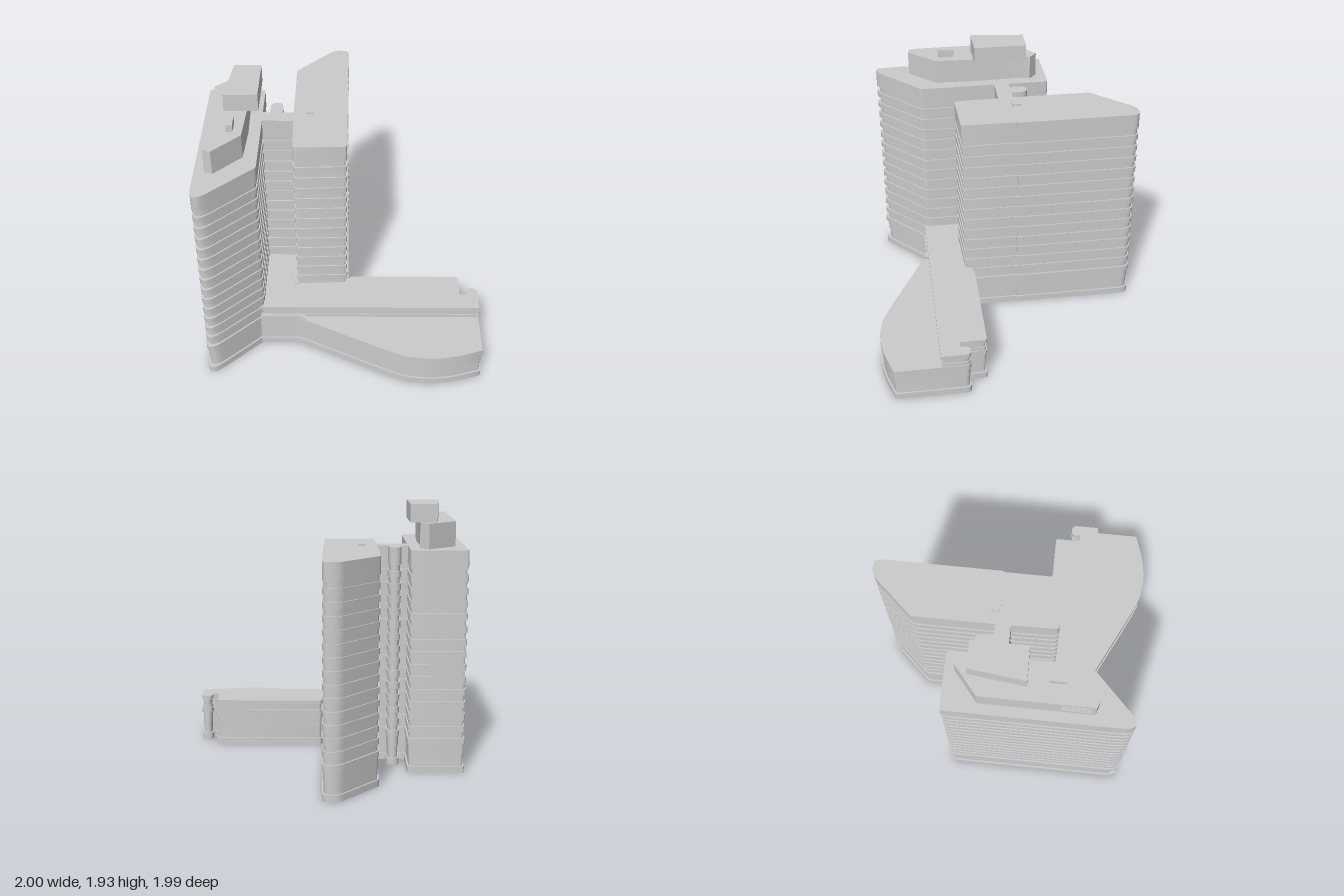
import * as THREE from 'three';
import { mergeGeometries, toCreasedNormals } from 'three/addons/utils/BufferGeometryUtils.js';

const material = new THREE.MeshStandardMaterial({ color: 0xcccccc });

// Move every edge of a plan outline [x, z, cornerSize] inward by d
function inset(pts, d) {
  const n = pts.length;
  let area = 0;
  pts.forEach((p, i) => {
    const q = pts[(i + 1) % n];
    area += p[0] * q[1] - q[0] * p[1];
  });
  const s = Math.sign(area);
  const normal = (a, b) => {
    const l = Math.hypot(b[0] - a[0], b[1] - a[1]);
    return [-s * (b[1] - a[1]) / l, s * (b[0] - a[0]) / l];
  };
  return pts.map((p, i) => {
    const m = normal(pts[(i + n - 1) % n], p);
    const k = normal(p, pts[(i + 1) % n]);
    const f = d / (1 + m[0] * k[0] + m[1] * k[1]);
    return [p[0] + (m[0] + k[0]) * f, p[1] + (m[1] + k[1]) * f, p[2] || 0];
  });
}

// Closed shape with softened corners
function outline(pts) {
  const n = pts.length;
  const shape = new THREE.Shape();
  pts.forEach((p, i) => {
    const v = new THREE.Vector2(p[0], -p[1]);
    const toward = (q) => {
      const e = new THREE.Vector2(q[0], -q[1]).sub(v);
      return v.clone().addScaledVector(e, Math.min(0.49, (p[2] || 0) / e.length()));
    };
    const a = toward(pts[(i + n - 1) % n]);
    const b = toward(pts[(i + 1) % n]);
    if (i === 0) shape.moveTo(a.x, a.y);
    else shape.lineTo(a.x, a.y);
    if (p[2]) shape.quadraticCurveTo(v.x, v.y, b.x, b.y);
  });
  shape.closePath();
  return shape;
}

// Stack of slabs: each level is [bottom, top, inset]
function stack(name, pts, levels) {
  const slabs = levels.map(([y0, y1, d]) => {
    const g = new THREE.ExtrudeGeometry(outline(inset(pts, d)), {
      depth: y1 - y0, bevelEnabled: false, curveSegments: 6,
    });
    g.rotateX(-Math.PI / 2);
    g.translate(0, y0, 0);
    return toCreasedNormals(g, 0.6);
  });
  const mesh = new THREE.Mesh(mergeGeometries(slabs), material);
  mesh.name = name;
  return mesh;
}

function box(name, x0, x1, y0, y1, z0, z1) {
  const mesh = new THREE.Mesh(new THREE.BoxGeometry(x1 - x0, y1 - y0, z1 - z0), material);
  mesh.position.set((x0 + x1) / 2, (y0 + y1) / 2, (z0 + z1) / 2);
  mesh.name = name;
  return mesh;
}

// Base courses, then alternating window recesses and floor bands, then parapet
const baseLevels = [[0, 0.05, 0], [0.05, 0.14, 0.012], [0.14, 0.22, 0.008], [0.22, 0.26, 0]];
const towerLevels = [...baseLevels];
const floors = 14, bottom = 0.26, top = 1.545;
const storey = (top - bottom) / floors;
for (let i = 0; i < floors; i++) {
  const y = bottom + i * storey;
  towerLevels.push([y, y + storey / 2, 0.012]);
  towerLevels.push([y + storey / 2, y + storey, 0.003]);
}
towerLevels.push([top, 1.625, 0.003]);

export function createModel() {
  const model = new THREE.Group();
  model.name = 'towerComplex';

  // Tower with the pointed front
  model.add(stack('pointedTower', [
    [-1, -0.415, 0.02], [-0.585, -0.415, 0.02], [-0.585, 0.56, 0.02],
    [-0.62, 0.59, 0.02], [-1, 0.957, 0.16],
  ], towerLevels));

  // Long tower with the slanted back, in two lengths with a small step between
  model.add(stack('slantedTower', [
    [-0.37, -0.69, 0.02], [-0.09, -0.998, 0.05], [0.028, -0.998, 0.06],
    [0.028, -0.09, 0], [-0.37, -0.09, 0],
  ], towerLevels));
  model.add(stack('slantedTowerFront', [
    [-0.37, -0.12, 0], [0.02, -0.12, 0], [0.02, 0.315, 0.02], [-0.36, 0.33, 0.03],
  ], towerLevels));

  // Link between the towers with a rounded stair shaft
  model.add(stack('link', [
    [-0.65, -0.115], [-0.33, -0.115], [-0.33, 0], [-0.65, 0],
  ], towerLevels));
  model.add(stack('stairShaft', [
    [-0.54, -0.24, 0.06], [-0.44, -0.24, 0.06], [-0.44, -0.05], [-0.54, -0.05],
  ], towerLevels));

  // Podium: curved lower storey and straight upper storey
  const podiumBack = [
    [1, 0.365, 0.04], [0.915, 0.365, 0.04], [0.915, 0.435], [0.865, 0.435],
    [0.865, 0.24, 0.02], [0.05, 0.24, 0.01], [0.04, 0.26], [-0.05, 0.26],
    [-0.05, -0.05], [-0.65, -0.05],
  ];
  model.add(stack('lowerPodium', [
    ...podiumBack, [-0.65, 0.59], [-0.34, 0.59, 0.03], [0.28, 0.9, 0.1],
    [0.44, 0.973, 0.05], [0.62, 0.998, 0.08], [0.8, 0.975, 0.08], [1, 0.91, 0.01],
  ], baseLevels));
  model.add(stack('upperPodium', [
    ...podiumBack, [-0.65, 0.58], [1, 0.58],
  ], [[0.26, 0.285, 0.006], [0.285, 0.33, 0.012], [0.33, 0.36, 0]]));
  model.add(stack('podiumStep', [
    [-0.61, 0.5], [-0.3, 0.5], [-0.28, 0.615], [-0.33, 0.592], [-0.61, 0.592],
  ], [[0.26, 0.28, 0]]));
  model.add(stack('entranceCanopy', [
    [-0.41, 0.215], [-0.34, 0.19], [-0.34, 0.32], [-0.37, 0.325],
  ], [[0.355, 0.367, 0]]));

  // Rooftop plant room, louvres and raised block
  model.add(stack('plantRoom', [
    [-0.925, -0.17], [-0.72, -0.34], [-0.66, -0.285], [-0.68, -0.24],
    [-0.67, 0.14], [-0.685, 0.44], [-0.87, 0.63], [-0.925, 0.61],
  ], [[1.62, 1.805, 0]]));
  for (let i = 0; i < 5; i++) {
    const y = 1.67 + i * 0.024;
    model.add(box('louvre', -0.93, -0.91, y, y + 0.01, 0.38, 0.58));
  }
  model.add(stack('raisedBlock', [
    [-0.785, -0.245], [-0.592, -0.245], [-0.592, 0.145], [-0.83, 0.15],
  ], [[1.805, 1.935, 0]]));
  model.add(box('plantRoomVent', -0.79, -0.745, 1.8, 1.86, 0.29, 0.405));
  model.add(box('roofHatch', -0.28, -0.225, 1.62, 1.64, -0.155, -0.09));

  return model;
}
